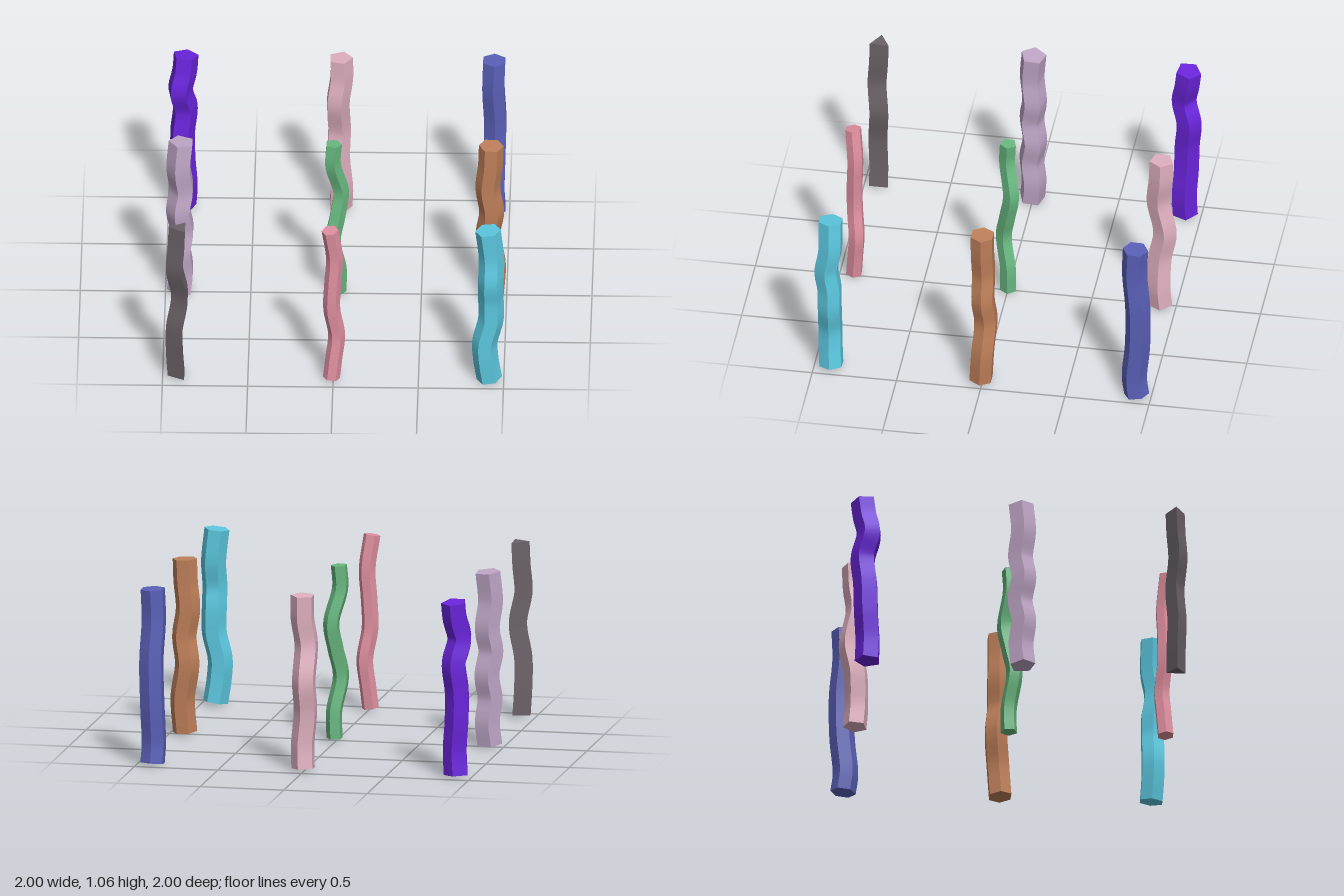
import * as THREE from 'three';
import { toCreasedNormals } from 'three/addons/utils/BufferGeometryUtils.js';

// Prism of n sides bent along a smooth path; points are [x, y, z] from bottom to top
function wavyColumn(name, color, sides, radius, turn, points) {
  const curve = new THREE.CatmullRomCurve3(points.map(p => new THREE.Vector3(...p)));
  const rows = 48;
  const geo = new THREE.CylinderGeometry(radius, radius, 1, sides, rows, false, turn);
  const pos = geo.attributes.position;
  const v = new THREE.Vector3();
  for (let i = 0; i < pos.count; i++) {
    v.fromBufferAttribute(pos, i);
    const t = THREE.MathUtils.clamp(v.y + 0.5, 0, 1);
    const tangent = curve.getTangentAt(t);
    const across = new THREE.Vector3(1, 0, 0).addScaledVector(tangent, -tangent.x).normalize();
    const depth = new THREE.Vector3().crossVectors(across, tangent);
    const p = curve.getPointAt(t).addScaledVector(across, v.x).addScaledVector(depth, v.z);
    pos.setXYZ(i, p.x, p.y, p.z);
  }
  // Crisp edges between sides, smooth along the bends
  const mesh = new THREE.Mesh(toCreasedNormals(geo, 0.5), new THREE.MeshStandardMaterial({ color }));
  mesh.name = name;
  return mesh;
}

export function createModel() {
  const group = new THREE.Group();
  group.name = 'wavyColumns';
  const Q = Math.PI / 2;

  group.add(
    // Front row
    wavyColumn('frontRightColumn', 0x6a6268, 3, 0.065, -Q, [
      [-0.905, 0.02, 0.91], [-0.915, 0.18, 0.91], [-0.915, 0.36, 0.915], [-0.885, 0.57, 0.905],
      [-0.915, 0.76, 0.92], [-0.905, 0.92, 0.91], [-0.9, 1.055, 0.905]]),
    wavyColumn('frontMiddleColumn', 0xe090a0, 6, 0.05, Q, [
      [-0.01, 0.02, 0.915], [0.005, 0.16, 0.905], [0.02, 0.31, 0.895], [-0.008, 0.5, 0.91],
      [-0.002, 0.68, 0.91], [0.008, 0.85, 0.905], [-0.018, 1.055, 0.922]]),
    wavyColumn('frontLeftColumn', 0x5cc8e0, 6, 0.075, Q, [
      [0.915, 0.02, 0.9], [0.895, 0.16, 0.908], [0.89, 0.28, 0.91], [0.925, 0.44, 0.908],
      [0.925, 0.58, 0.91], [0.925, 0.71, 0.928], [0.928, 0.86, 0.905], [0.908, 1.055, 0.905]]),

    // Middle row
    wavyColumn('middleRightColumn', 0xbfa6c6, 5, 0.077, -Q, [
      [-0.915, 0.02, 0.005], [-0.902, 0.16, -0.005], [-0.915, 0.3, 0.01], [-0.9, 0.44, -0.01],
      [-0.92, 0.58, 0.01], [-0.902, 0.72, -0.008], [-0.918, 0.88, 0.008], [-0.905, 1.055, -0.005]]),
    wavyColumn('centreColumn', 0x68b880, 5, 0.05, 0.3, [
      [0.01, 0.02, -0.005], [0.012, 0.18, -0.005], [-0.022, 0.39, 0.025], [0.005, 0.55, 0],
      [0.025, 0.71, -0.025], [-0.022, 0.92, 0.005], [-0.015, 1.055, 0]]),
    wavyColumn('middleLeftColumn', 0xc0805a, 6, 0.073, Q, [
      [0.91, 0.02, 0.012], [0.922, 0.22, 0], [0.892, 0.43, -0.014], [0.912, 0.59, 0],
      [0.89, 0.76, 0], [0.905, 0.92, 0.004], [0.91, 1.055, 0.004]]),

    // Back row
    wavyColumn('backRightColumn', 0x6a24dc, 5, 0.077, 0.5, [
      [-0.912, 0.02, -0.905], [-0.905, 0.16, -0.9], [-0.918, 0.34, -0.91], [-0.92, 0.52, -0.915],
      [-0.905, 0.69, -0.928], [-0.932, 0.83, -0.895], [-0.908, 0.95, -0.915], [-0.9, 1.055, -0.928]]),
    wavyColumn('backMiddleColumn', 0xe0b0c0, 5, 0.073, 0.35, [
      [0.005, 0.02, -0.91], [0.01, 0.15, -0.9], [-0.008, 0.36, -0.905], [-0.004, 0.54, -0.935],
      [-0.01, 0.76, -0.895], [0.01, 0.92, -0.91], [0.008, 1.055, -0.915]]),
    wavyColumn('backLeftColumn', 0x5a60b8, 6, 0.075, 0, [
      [0.91, 0.015, -0.912], [0.905, 0.13, -0.898], [0.91, 0.36, -0.917], [0.915, 0.63, -0.92],
      [0.905, 0.87, -0.9], [0.91, 1.055, -0.905]])
  );
  return group;
}
